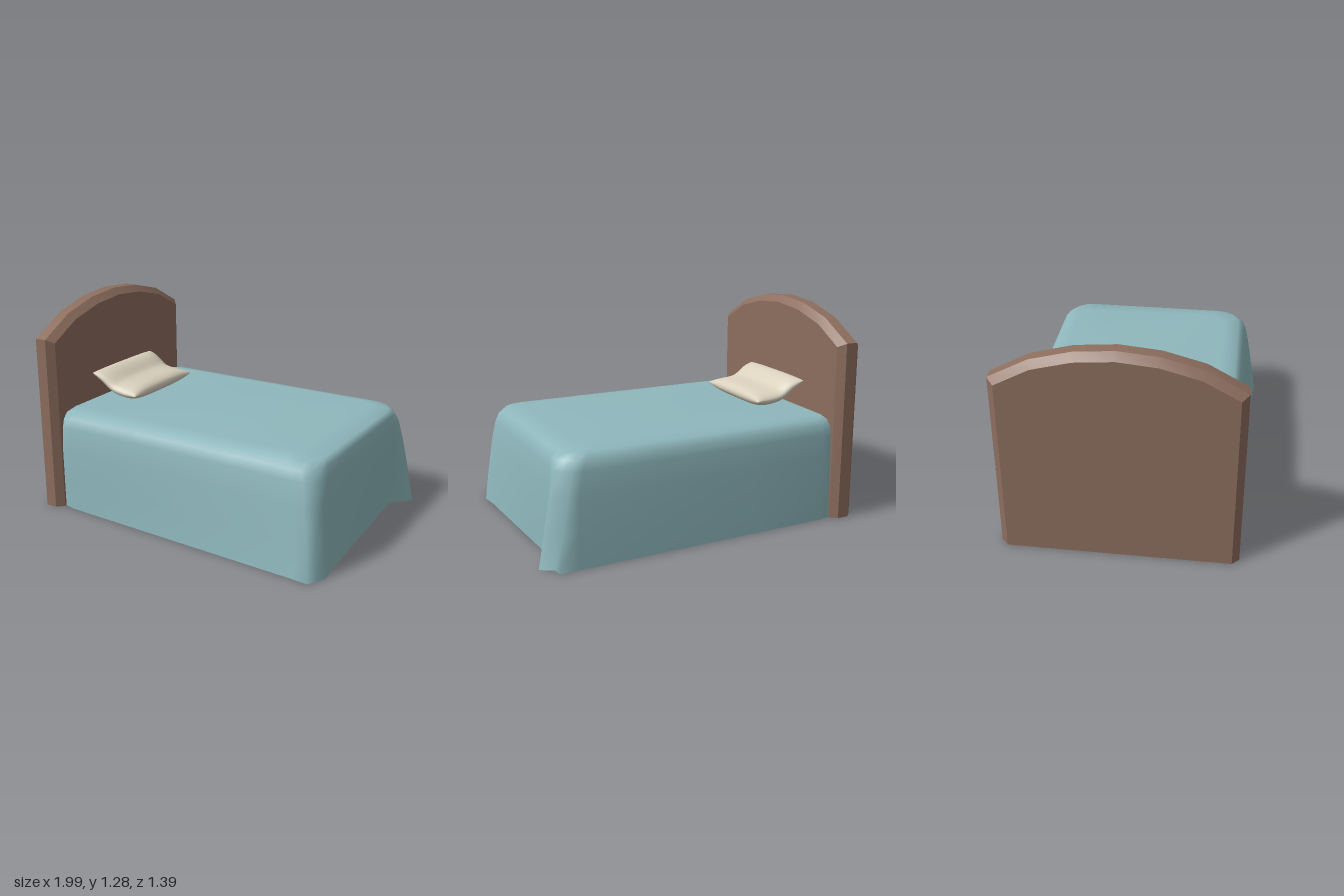
import * as THREE from 'three';
import { mergeVertices, toCreasedNormals } from 'three/addons/utils/BufferGeometryUtils.js';

const material = (name, color, side = THREE.FrontSide) => {
  const m = new THREE.MeshStandardMaterial({ color, side });
  m.name = name;
  return m;
};

const addMesh = (group, name, geometry, mat) => {
  const mesh = new THREE.Mesh(geometry, mat);
  mesh.name = name;
  group.add(mesh);
};

// Arched board with chamfered sides and top, cut flat at the floor
function headboardGeometry() {
  const half = 0.672, bevel = 0.04;
  const arch = [[-1, 1.08], [-0.67, 1.2], [-0.333, 1.26], [0, 1.28], [0.333, 1.26], [0.67, 1.2], [1, 1.08]];
  const shape = new THREE.Shape();
  shape.moveTo(half, -0.1);
  for (const [s, y] of [...arch].reverse()) shape.lineTo(s * half, y);
  shape.lineTo(-half, -0.1);
  shape.closePath();
  const g = new THREE.ExtrudeGeometry(shape, {
    depth: 0.15 - 2 * bevel, bevelEnabled: true, bevelSegments: 1,
    bevelSize: bevel, bevelThickness: bevel, bevelOffset: -bevel,
  });
  g.rotateY(Math.PI / 2);
  g.translate(-1 + bevel, 0, -0.018);
  const p = g.attributes.position;
  for (let i = 0; i < p.count; i++) p.setY(i, Math.max(0, p.getY(i)));
  return toCreasedNormals(g, 0.6);
}

// Open cloth: U-shaped rings from the mattress top down to a flared hem
function blanketGeometry() {
  // [height, foot x, left z, right z, corner radius, flare]
  const levels = [
    [0.635, 0.72, 0.47, -0.53, 0.10, 0],
    [0.62, 0.845, 0.56, -0.60, 0.15, 0],
    [0.585, 0.868, 0.59, -0.63, 0.15, 0.03],
    [0.53, 0.88, 0.605, -0.645, 0.14, 0.1],
    [0.40, 0.888, 0.615, -0.65, 0.13, 0.3],
    [0.20, 0.89, 0.615, -0.655, 0.12, 0.65],
    [0, 0.89, 0.615, -0.66, 0.12, 1],
  ];
  const hemLeft = [[0.8, 0.688], [0.89, 0.695], [0.925, 0.64], [0.95, 0.58], [0.935, 0.48]];
  const hemRight = [[0.88, -0.48], [0.99, -0.6], [0.915, -0.64], [0.905, -0.7], [0.8, -0.697]];
  const pos = [0, 0.635, -0.03], index = [];
  let n = 0;

  for (const [y, x, zl, zr, r, flare] of levels) {
    const corner = (hem, z, dir, reverse) => hem.map(([hx, hz], i) => {
      const a = (reverse ? 4 - i : i) * Math.PI / 8;
      const bx = x - r + r * Math.sin(a);
      const bz = z - dir * r + dir * r * Math.cos(a);
      return [bx + (hx - bx) * flare, bz + (hz - bz) * flare];
    });
    const left = corner(hemLeft, zl, 1, false);
    const right = corner(hemRight, zr, -1, true);
    const side = (z, end) => [-0.78, -0.3, 0.3].map(sx => {
      const t = (sx + 0.85) / (end[0] + 0.85);
      return [sx, z + (end[1] - z) * t];
    });
    const foot = [0.33, 0.67].map(t => [0, 1].map(k => left[4][k] + (right[0][k] - left[4][k]) * t));
    const ring = [[-0.855, zl - 0.015], ...side(zl, left[0]), ...left, ...foot,
      ...right, ...side(zr, right[4]).reverse(), [-0.855, zr + 0.015]];
    n = ring.length;
    ring.forEach(([px, pz], i) => {
      const headDrop = i === 0 || i === n - 1 ? 0.015 : 0;
      pos.push(px, Math.max(0, y - headDrop), pz);
    });
  }

  for (let i = 0; i < n; i++) index.push(0, 1 + i, 1 + (i + 1) % n);
  for (let l = 0; l < levels.length - 1; l++) {
    for (let i = 0; i < n - 1; i++) {
      const a = 1 + l * n + i, c = a + n;
      index.push(a, c, a + 1, a + 1, c, c + 1);
    }
  }
  const g = new THREE.BufferGeometry();
  g.setAttribute('position', new THREE.Float32BufferAttribute(pos, 3));
  g.setIndex(index);
  g.computeVertexNormals();
  return g;
}

// Puffed cushion bent along a curve, leaning on the headboard
function pillowGeometry() {
  const curve = new THREE.CatmullRomCurve3([[-0.85, 0.79], [-0.78, 0.752], [-0.71, 0.702],
    [-0.63, 0.685], [-0.52, 0.685]].map(([x, y]) => new THREE.Vector3(x, y, 0)));
  const box = new THREE.BoxGeometry(2, 2, 2, 18, 1, 22);
  box.deleteAttribute('normal');
  box.deleteAttribute('uv');
  const p = box.attributes.position;
  for (let i = 0; i < p.count; i++) {
    const u = Math.sin(p.getX(i) * Math.PI / 2), v = Math.sin(p.getZ(i) * Math.PI / 2);
    const puff = 0.052 * Math.sqrt(Math.max(0, (1 - u ** 4) * (1 - v ** 4)));
    const t = THREE.MathUtils.clamp((u + 1) / 2, 0, 1);
    const c = curve.getPointAt(t), d = curve.getTangentAt(t);
    const s = p.getY(i) * puff;
    const halfZ = 0.296 + 0.012 * u * u;
    p.setXYZ(i, c.x - d.y * s, c.y + d.x * s, -0.023 + v * halfZ);
  }
  const g = mergeVertices(box, 1e-5);
  g.computeVertexNormals();
  return g;
}

export function createModel() {
  const wood = material('brown wood', 0x8d6e5e);
  const cloth = material('blue cloth', 0x8fb8bd, THREE.DoubleSide);
  const linen = material('cream linen', 0xd9d0bd);
  const bed = new THREE.Group();
  bed.name = 'bed';

  addMesh(bed, 'headboard', headboardGeometry(), wood);
  addMesh(bed, 'blanket', blanketGeometry(), cloth);
  addMesh(bed, 'pillow', pillowGeometry(), linen);

  // Narrow strip of cloth along the floor at the head end
  const strip = new THREE.BoxGeometry(0.03, 0.006, 1.24);
  strip.translate(-0.837, 0.004, -0.022);
  addMesh(bed, 'blanketHeadHem', strip, cloth);
  return bed;
}
